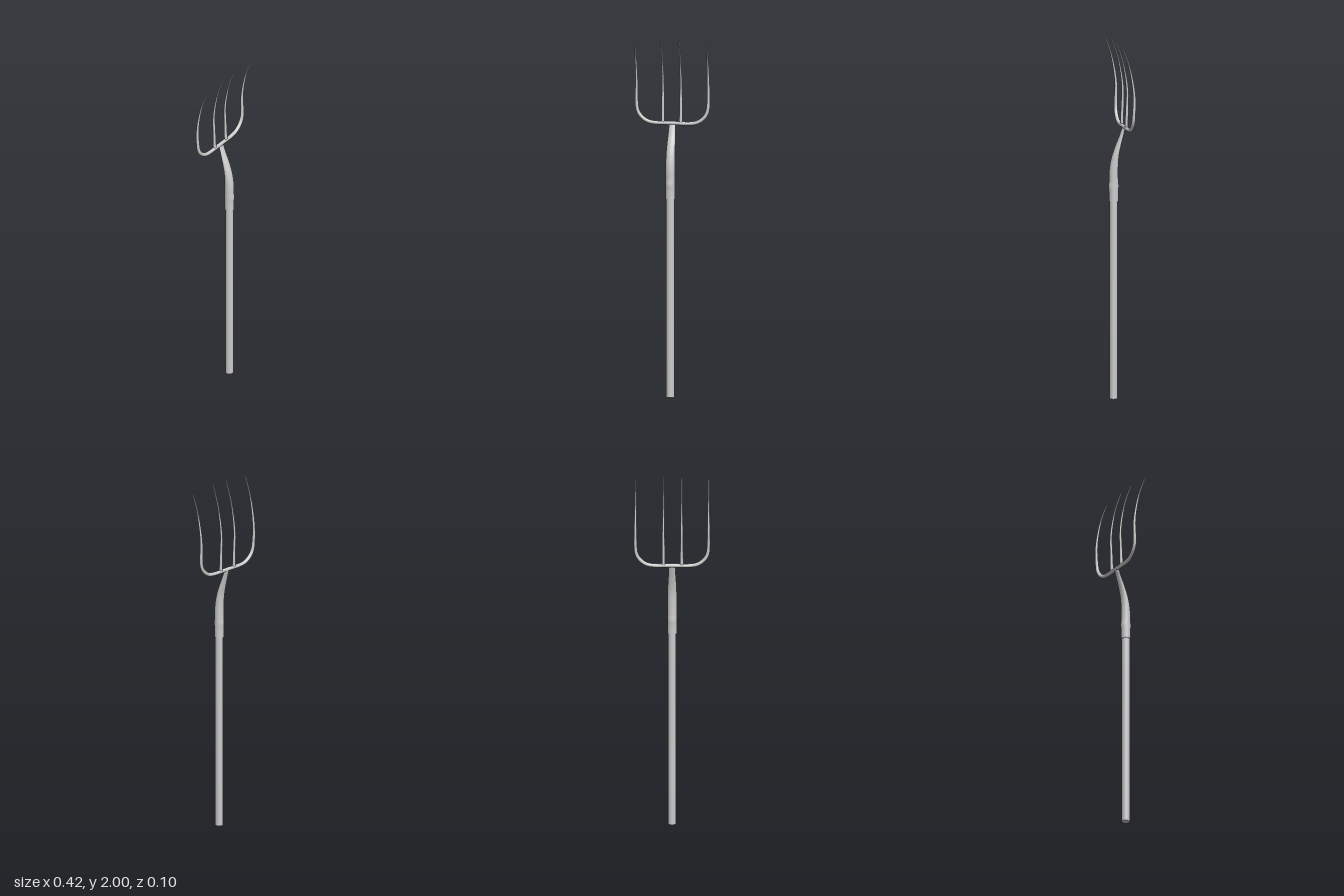
import * as THREE from 'three';

const material = new THREE.MeshStandardMaterial({ color: 0xcccccc });
const TIP = 0.003;

// Forward curve of a tine, listed from the tip downwards
const tineProfile = [[1, 0.023], [0.8, -0.011], [0.6, -0.032], [0.42, -0.042], [0.24, -0.04]];

function addMesh(parent, name, geometry, position = [0, 0, 0]) {
  const mesh = new THREE.Mesh(geometry, material);
  mesh.name = name;
  mesh.position.set(...position);
  parent.add(mesh);
  return mesh;
}

// Round rod along a path, its radius ruled by height
function taperedRod(points, segments, radiusAt) {
  const path = new THREE.CatmullRomCurve3(points);
  const sides = 14;
  const geometry = new THREE.TubeGeometry(path, segments, 1, sides);
  const pos = geometry.attributes.position;
  const v = new THREE.Vector3();
  for (let i = 0; i <= segments; i++) {
    const centre = path.getPointAt(i / segments);
    for (let j = 0; j <= sides; j++) {
      const k = i * (sides + 1) + j;
      v.fromBufferAttribute(pos, k).sub(centre).multiplyScalar(radiusAt(centre.y)).add(centre);
      pos.setXYZ(k, v.x, v.y, v.z);
    }
  }
  return geometry;
}

const taper = (base, top) => (y) =>
  THREE.MathUtils.lerp(base, TIP, THREE.MathUtils.clamp((y - 1.55) / (top - 1.55), 0, 1));

function tinePoints(x, top) {
  return tineProfile.map(([t, z]) => new THREE.Vector3(x, 1.511 + t * (top - 1.511), z));
}

// Socket: a cylinder bent backwards and flattened towards the fork
function socketGeometry() {
  const bottom = 1.1, top = 1.505;
  // z offset, half width, half depth at even steps of height
  const rows = [
    [0.024, 0.026, 0.026], [0.024, 0.026, 0.026], [0.024, 0.026, 0.026],
    [0.024, 0.026, 0.0255], [0.021, 0.026, 0.023], [0.013, 0.025, 0.019],
    [-0.001, 0.023, 0.015], [-0.018, 0.02, 0.011], [-0.034, 0.018, 0.009],
  ];
  const rule = new THREE.CatmullRomCurve3(rows.map((r) => new THREE.Vector3(...r)));
  const geometry = new THREE.CylinderGeometry(1, 1, 1, 32, 32);
  const pos = geometry.attributes.position;
  for (let i = 0; i < pos.count; i++) {
    const t = pos.getY(i) + 0.5;
    const r = rule.getPoint(THREE.MathUtils.clamp(t, 0, 1));
    pos.setXYZ(i, pos.getX(i) * r.y, bottom + t * (top - bottom), r.x + pos.getZ(i) * r.z);
  }
  geometry.computeVertexNormals();
  return geometry;
}

export function createModel() {
  const model = new THREE.Group();
  model.name = 'pitchfork';

  // Straight shaft and the socket that holds it
  addMesh(model, 'handle', new THREE.CylinderGeometry(0.022, 0.022, 1.14, 32), [0, 0.57, 0.024]);
  addMesh(model, 'socket', socketGeometry());

  const fork = new THREE.Group();
  fork.name = 'fork';
  model.add(fork);

  // Outer tines and crossbar in one bent rod
  const outerTop = 1.985;
  const side = tinePoints(0.2, outerTop);
  for (let i = 1; i <= 4; i++) {
    const a = (i / 4) * Math.PI / 2;
    side.push(new THREE.Vector3(0.1 + 0.1 * Math.cos(a), 1.611 - 0.1 * Math.sin(a), -0.039 + 0.003 * i / 4));
  }
  const mirrored = side.map((p) => new THREE.Vector3(-p.x, p.y, p.z)).reverse();
  const path = [...side, new THREE.Vector3(0, 1.511, -0.036), ...mirrored];
  addMesh(fork, 'outerTinesAndCrossbar', taperedRod(path, 120, taper(0.0105, outerTop)));

  // Inner tines rising from the crossbar
  for (const x of [-0.053, 0.047]) {
    const points = [...tinePoints(x, 1.998), new THREE.Vector3(x, 1.511, -0.036)];
    addMesh(fork, 'innerTine', taperedRod(points, 48, taper(0.009, 1.998)));
  }

  // Rounded tips
  for (const [x, y] of [[-0.2, outerTop], [0.2, outerTop], [-0.053, 1.998], [0.047, 1.998]]) {
    addMesh(fork, 'tineTip', new THREE.SphereGeometry(TIP, 12, 8), [x, y, tineProfile[0][1]]);
  }
  return model;
}
